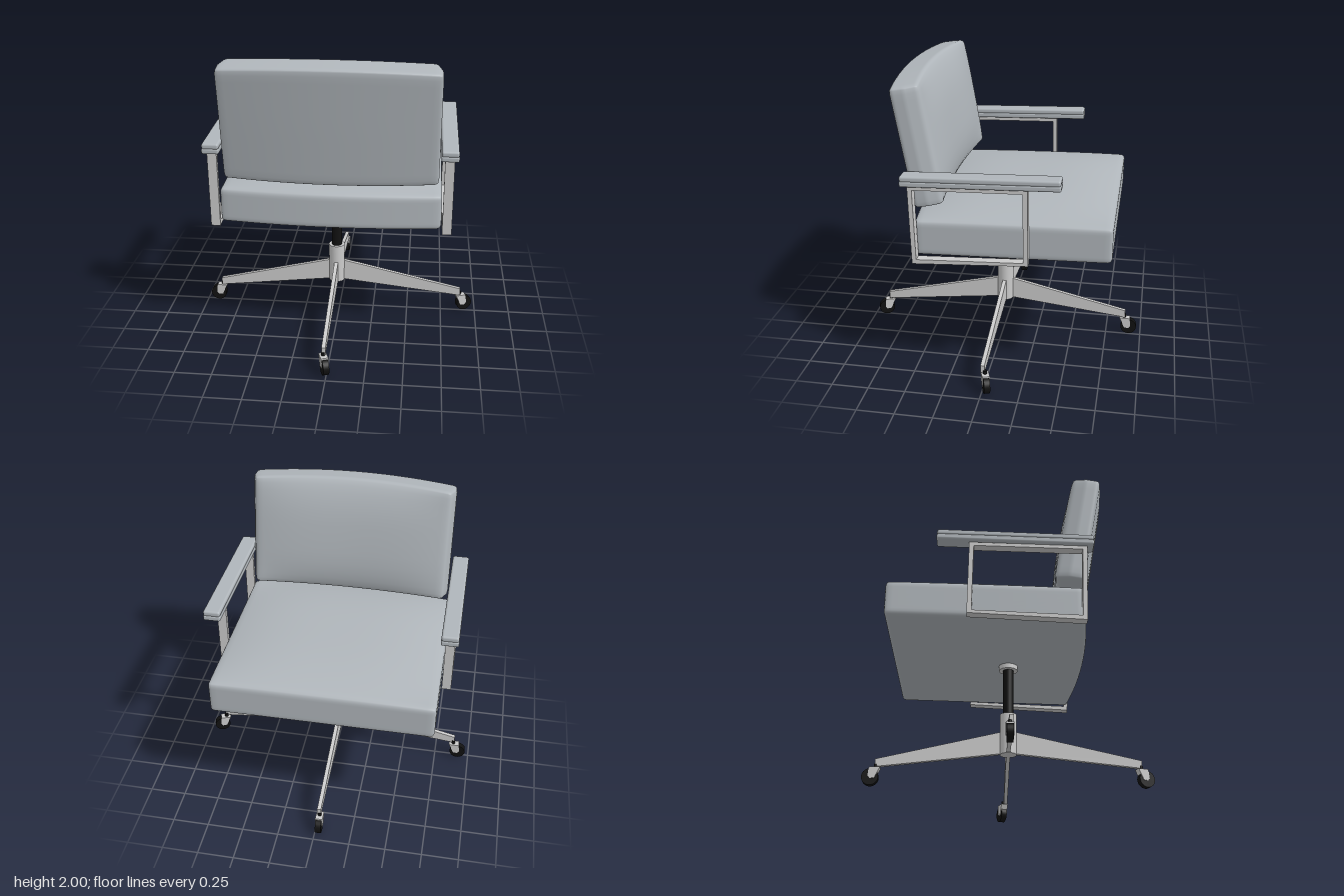
import * as THREE from 'three';
import { mergeVertices } from 'three/addons/utils/BufferGeometryUtils.js';
import { RoundedBoxGeometry } from 'three/addons/geometries/RoundedBoxGeometry.js';

const metal = new THREE.MeshStandardMaterial({ color: 0xcccccc });
const fabric = new THREE.MeshStandardMaterial({ color: 0xb0b6bb });
const black = new THREE.MeshStandardMaterial({ color: 0x111111 });

function mesh(name, geometry, material, x = 0, y = 0, z = 0) {
  const m = new THREE.Mesh(geometry, material);
  m.name = name;
  m.position.set(x, y, z);
  return m;
}

// Rounded, finely divided box whose points are then shifted by a rule(p, n), n in -1..1
function cushion(w, h, d, r, rule) {
  let g = new THREE.BoxGeometry(2, 2, 2, 24, 14, 24);
  g.deleteAttribute('uv');
  g.deleteAttribute('normal');
  g = mergeVertices(g);
  const half = new THREE.Vector3(w / 2, h / 2, d / 2);
  const core = half.clone().subScalar(r);
  const p = new THREE.Vector3(), n = new THREE.Vector3(), inner = new THREE.Vector3();
  const spread = t => Math.sign(t) * (1 - Math.pow(1 - Math.min(1, Math.abs(t)), 1.8));
  const pos = g.attributes.position;
  for (let i = 0; i < pos.count; i++) {
    p.fromBufferAttribute(pos, i);
    p.set(spread(p.x), spread(p.y), spread(p.z)).multiply(half);
    inner.copy(p).clamp(core.clone().negate(), core);
    p.sub(inner).normalize().multiplyScalar(r).add(inner);
    n.copy(p).divide(half);
    rule(p, n);
    pos.setXYZ(i, p.x, p.y, p.z);
  }
  g.computeVertexNormals();
  return g;
}

const crown = (a, b) => (1 - Math.abs(a) ** 3) * (1 - Math.abs(b) ** 3);

// Flat plate drawn in the (z, y) or (radius, y) plane, centred on its thickness
function plate(points, thickness, hole) {
  const toVec = ([x, y]) => new THREE.Vector2(x, y);
  const shape = new THREE.Shape(points.map(toVec));
  if (hole) shape.holes.push(new THREE.Path(hole.map(toVec)));
  const g = new THREE.ExtrudeGeometry(shape, { depth: thickness, bevelEnabled: false });
  return g.translate(0, 0, -thickness / 2);
}

function makeCaster(x, z, yaw) {
  const g = new THREE.Group();
  g.name = 'caster';
  g.position.set(x, 0.058, z);
  g.rotation.y = yaw;
  const wheel = new THREE.CylinderGeometry(0.056, 0.056, 0.04, 28).rotateX(Math.PI / 2);
  g.add(mesh('wheel', wheel, black));
  const fork = plate([[-0.065, 0.066], [-0.03, -0.008], [0, -0.012], [0.014, 0.005], [0.008, 0.066]], 0.05);
  g.add(mesh('fork', fork, metal));
  g.add(mesh('stem', new THREE.CylinderGeometry(0.013, 0.013, 0.03, 14), black, -0.034, 0.075, 0));
  return g;
}

function makeArm(x) {
  const g = new THREE.Group();
  g.name = 'armrest';
  g.position.x = x;
  const frame = plate(
    [[0.49, 1.365], [-0.27, 1.385], [-0.278, 0.875], [0.475, 0.835]], 0.063,
    [[0.46, 1.342], [-0.24, 1.36], [-0.248, 0.895], [0.447, 0.866]]
  ).rotateY(-Math.PI / 2);
  g.add(mesh('armFrame', frame, metal));
  // two padded layers with a seam between them
  const pad = new THREE.Group();
  pad.name = 'armPad';
  pad.position.set(0, 1.419, 0.028);
  pad.rotation.x = 0.03;
  pad.add(mesh('padLower', new RoundedBoxGeometry(0.115, 0.038, 1.015, 3, 0.012), fabric, 0, -0.018, 0));
  pad.add(mesh('padUpper', new RoundedBoxGeometry(0.113, 0.04, 1.012, 3, 0.015), fabric, 0, 0.014, 0));
  g.add(pad);
  return g;
}

export function createModel() {
  const chair = new THREE.Group();
  chair.name = 'officeChair';
  const cx = -0.022;

  // Seat: crowned top, bowed rear edge, slightly raised front
  const seat = cushion(1.475, 0.24, 1.27, 0.03, (p, n) => {
    const c = crown(n.x, n.z);
    p.y += n.y > 0 ? 0.075 * c * n.y : 0.01 * c * n.y;
    p.y -= n.z * 0.016;
    if (n.z > 0) p.z += 0.05 * (1 - n.x * n.x) * n.z;
  });
  chair.add(mesh('seat', seat, fabric, cx, 1.0, -0.165));

  // Backrest: leaning, bowed to the rear, crowned toward the sitter
  const back = cushion(1.415, 0.775, 0.187, 0.028, (p, n) => {
    const bow = 1 - n.x * n.x;
    const { x, y, z } = n;
    p.z += p.y * 0.18 + 0.05 * bow;
    if (z < 0) {
      p.z += 0.068 * crown(x, y) * z;
      p.x *= 1 + 0.045 * z;
    }
    p.y += (y > 0 ? 0.025 : 0.01) * bow * y - z * 0.016;
  });
  chair.add(mesh('backrest', back, fabric, -0.018, 1.582, 0.449));

  // Armrests
  for (const x of [-0.795, 0.754]) chair.add(makeArm(x));

  // Centre column
  chair.add(mesh('seatPlate', new THREE.CylinderGeometry(0.065, 0.065, 0.05, 28), metal, cx, 0.858, 0));
  chair.add(mesh('gasPost', new THREE.CylinderGeometry(0.037, 0.037, 0.37, 24), black, cx, 0.66, 0));
  chair.add(mesh('sleeve', new THREE.CylinderGeometry(0.057, 0.057, 0.285, 28), metal, cx, 0.362, 0));

  // Four tapered legs, each with its caster: [leg angle, length, wheel x, wheel z, wheel yaw]
  const q = Math.PI / 2;
  const legs = [
    [0, 0.91, 0.915, -0.028, 0.35],
    [q, 0.886, -0.026, -0.913, q],
    [2 * q, 0.867, -0.917, -0.01, 2 * q],
    [-q, 0.893, -0.013, 0.918, 0.35 - q],
  ];
  for (const [angle, length, wx, wz, yaw] of legs) {
    const geo = plate([[0.02, 0.228], [length, 0.13], [length, 0.183], [0.02, 0.385]], 0.027);
    const leg = mesh('leg', geo, metal, cx, 0, 0);
    leg.rotation.y = angle;
    chair.add(leg, makeCaster(wx, wz, yaw));
  }
  return chair;
}
